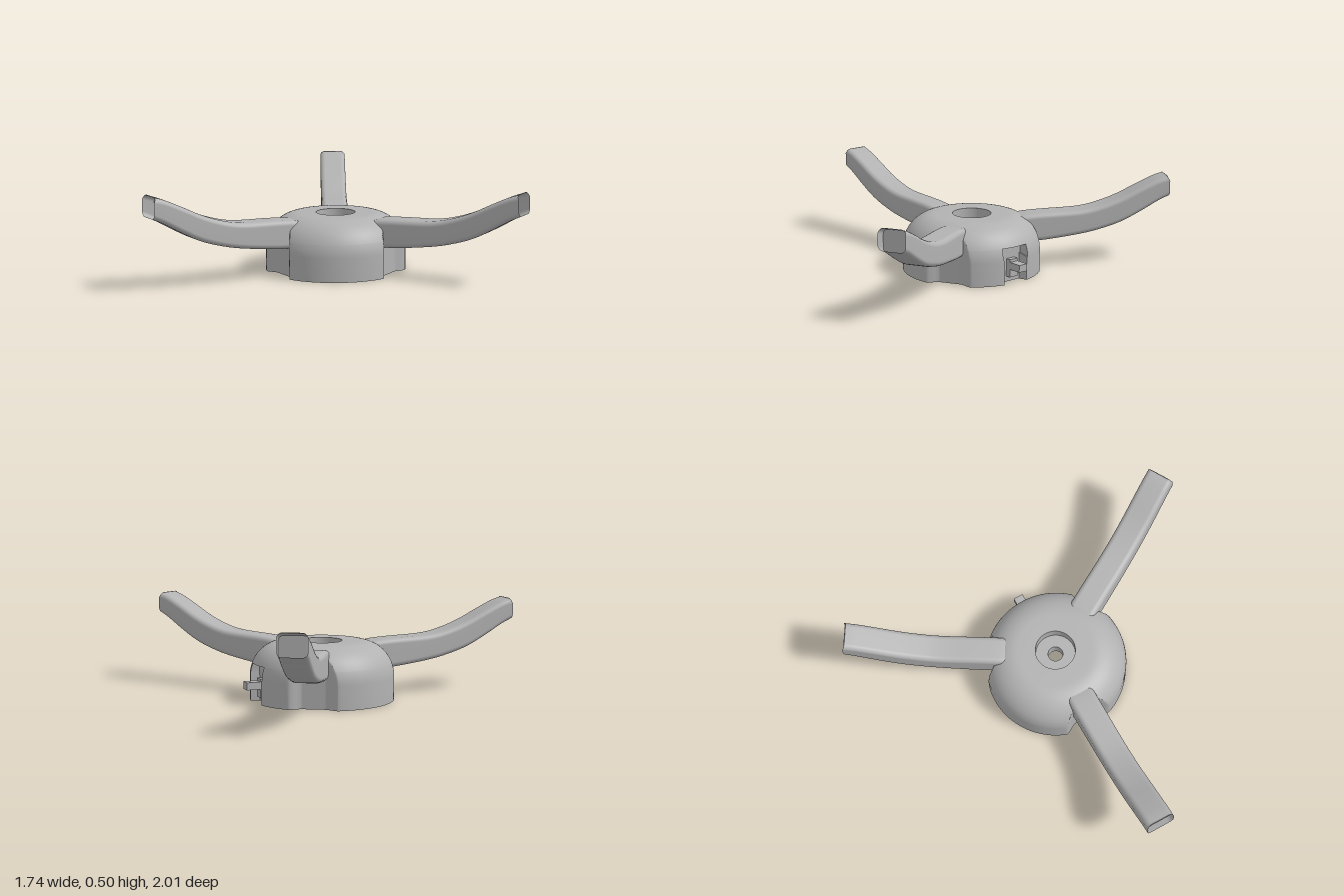
import * as THREE from 'three';
import { toCreasedNormals } from 'three/addons/utils/BufferGeometryUtils.js';

const grey = new THREE.MeshStandardMaterial({ color: 0xb2b2b2, side: THREE.DoubleSide });
grey.name = 'plain grey';

const ARM_ANGLES = [0, 1, 2].map((k) => (k * Math.PI * 2) / 3);
const CLIP_ANGLE = Math.PI / 3;
const HEX = 0.115;

// Domed hub: one closed lathe, with scallops below the arms, a clip recess and a hex pocket
function hubGeometry() {
  const profile = [[0.04, 0.18], [HEX, 0.18], [HEX, 0.1], [0.22, 0.1], [0.22, 0.08], [0.3, 0.08], [0.3, 0], [0.385, 0], [0.385, 0.13]];
  const dome = (y) => 0.2 + Math.sqrt(Math.max(0, 0.185 ** 2 - (y - 0.13) ** 2));
  for (const y of [0.15, 0.175, 0.1995, 0.2, 0.215, 0.23, 0.245, 0.257, 0.269, 0.28, 0.29, 0.299, 0.306, 0.311, 0.314]) profile.push([dome(y), y]);
  profile.push([0.2, 0.315], [0.107, 0.315], [0.107, 0.25], [0.04, 0.25], [0.04, 0.18]);

  const geo = new THREE.LatheGeometry(profile.map(([r, y]) => new THREE.Vector2(r, y)), 360);
  const pos = geo.attributes.position;
  for (let i = 0; i < pos.count; i++) {
    const x = pos.getX(i), y = pos.getY(i), z = pos.getZ(i);
    const angle = Math.atan2(-z, x);
    let r = Math.hypot(x, z);
    const full = r;
    if (Math.abs(r - HEX) < 1e-4) {
      const sixth = Math.PI / 3;
      const a = ((angle % sixth) + sixth) % sixth;
      r = (HEX * Math.cos(sixth / 2)) / Math.cos(a - sixth / 2);
    } else if (r > 0.305) {
      for (const arm of ARM_ANGLES) {
        const d = angle - arm;
        if (Math.cos(d) < 0.7) continue;
        const limit = 0.33 + 0.032 * THREE.MathUtils.smoothstep(Math.abs(full * Math.sin(d)), 0.07, 0.13);
        r = Math.min(r, limit / Math.cos(d));
      }
      const c = angle - CLIP_ANGLE;
      if (y < 0.1998 && Math.cos(c) > 0.7 && Math.abs(full * Math.sin(c)) < 0.08) r = Math.min(r, 0.33 / Math.cos(c));
    }
    pos.setXYZ(i, (x * r) / full, y, (z * r) / full);
  }
  return toCreasedNormals(geo, 0.5);
}

// Rounded rectangle as [y, z] points
function section(top, bottom) {
  const pts = [], c = 0.028, hw = 0.075;
  const corners = [[top - c, hw - c], [top - c, c - hw], [bottom + c, c - hw], [bottom + c, hw - c]];
  corners.forEach(([y, z], q) => {
    for (let k = 0; k <= 5; k++) {
      const a = (q + k / 5) * Math.PI / 2;
      pts.push([y + c * Math.cos(a - 0) * 1, z + c * Math.sin(a) * 1]);
    }
  });
  return pts;
}

// Loft along +x: the corner order runs top, right, bottom, left
function armGeometry() {
  const top = new THREE.SplineCurve([[0.2, 0.28], [0.28, 0.303], [0.4, 0.312], [0.6, 0.32], [0.72, 0.343], [0.84, 0.385], [0.95, 0.438], [1.05, 0.483], [1.115, 0.502]].map((p) => new THREE.Vector2(...p)));
  const bottom = new THREE.SplineCurve([[0.2, 0.153], [0.28, 0.153], [0.4, 0.157], [0.6, 0.182], [0.72, 0.207], [0.84, 0.245], [0.95, 0.3], [1.05, 0.357], [1.115, 0.387]].map((p) => new THREE.Vector2(...p)));
  const rows = 32, verts = [], index = [];
  let n = 0;
  for (let i = 0; i <= rows; i++) {
    const a = top.getPoint(i / rows), b = bottom.getPoint(i / rows);
    const pts = roundLoop(a.y, b.y);
    n = pts.length;
    for (const [y, z] of pts) {
      const trim = i === rows ? 0.5 * Math.max(0, y - (a.y - 0.03)) : 0;
      verts.push(a.x - trim, y, z);
    }
  }
  for (let i = 0; i < rows; i++) {
    for (let j = 0; j < n; j++) {
      const p = i * n + j, q = i * n + ((j + 1) % n);
      index.push(p, q, p + n, q, q + n, p + n);
    }
  }
  const geo = new THREE.BufferGeometry();
  geo.setAttribute('position', new THREE.Float32BufferAttribute(verts, 3));
  geo.setIndex(index);
  geo.computeVertexNormals();
  return geo;
}

// Ordered loop, turning from +y towards +z as seen from the tip
function roundLoop(top, bottom) {
  const c = 0.028, hw = 0.075, pts = [];
  const corners = [[top - c, hw - c], [bottom + c, hw - c], [bottom + c, c - hw], [top - c, c - hw]];
  corners.forEach(([y, z], q) => {
    for (let k = 0; k <= 5; k++) {
      const a = (q + k / 5) * Math.PI / 2;
      pts.push([y + c * Math.cos(a), z + c * Math.sin(a)]);
    }
  });
  return pts;
}

// Flat wall set back inside the open tip
function capGeometry() {
  const shape = new THREE.Shape(roundLoop(0.481, 0.355).map(([y, z]) => new THREE.Vector2(-z, y)));
  return new THREE.ShapeGeometry(shape).rotateY(Math.PI / 2).translate(1.046, 0, 0);
}

function part(name, geometry, parent) {
  const mesh = new THREE.Mesh(geometry, grey);
  mesh.name = name;
  parent.add(mesh);
  return mesh;
}

export function createModel() {
  const model = new THREE.Group();
  model.name = 'threeArmHolder';
  model.position.x = -0.25;

  part('hub', hubGeometry(), model);

  // Three curved arms
  const armGeo = armGeometry(), capGeo = capGeometry();
  ARM_ANGLES.forEach((angle, i) => {
    const arm = new THREE.Group();
    arm.name = `arm${i + 1}`;
    arm.rotation.y = angle;
    part('armShell', armGeo, arm);
    part('armTipWall', capGeo, arm);
    model.add(arm);
  });

  // Small clip in the side recess
  const clip = new THREE.Group();
  clip.name = 'clip';
  clip.rotation.y = CLIP_ANGLE;
  part('clipBase', new THREE.BoxGeometry(0.04, 0.1, 0.055).translate(0.34, 0.08, 0), clip);
  part('clipStem', new THREE.BoxGeometry(0.11, 0.04, 0.055).translate(0.382, 0.095, 0), clip);
  model.add(clip);

  const root = new THREE.Group();
  root.name = 'model';
  root.add(model);
  return root;
}
